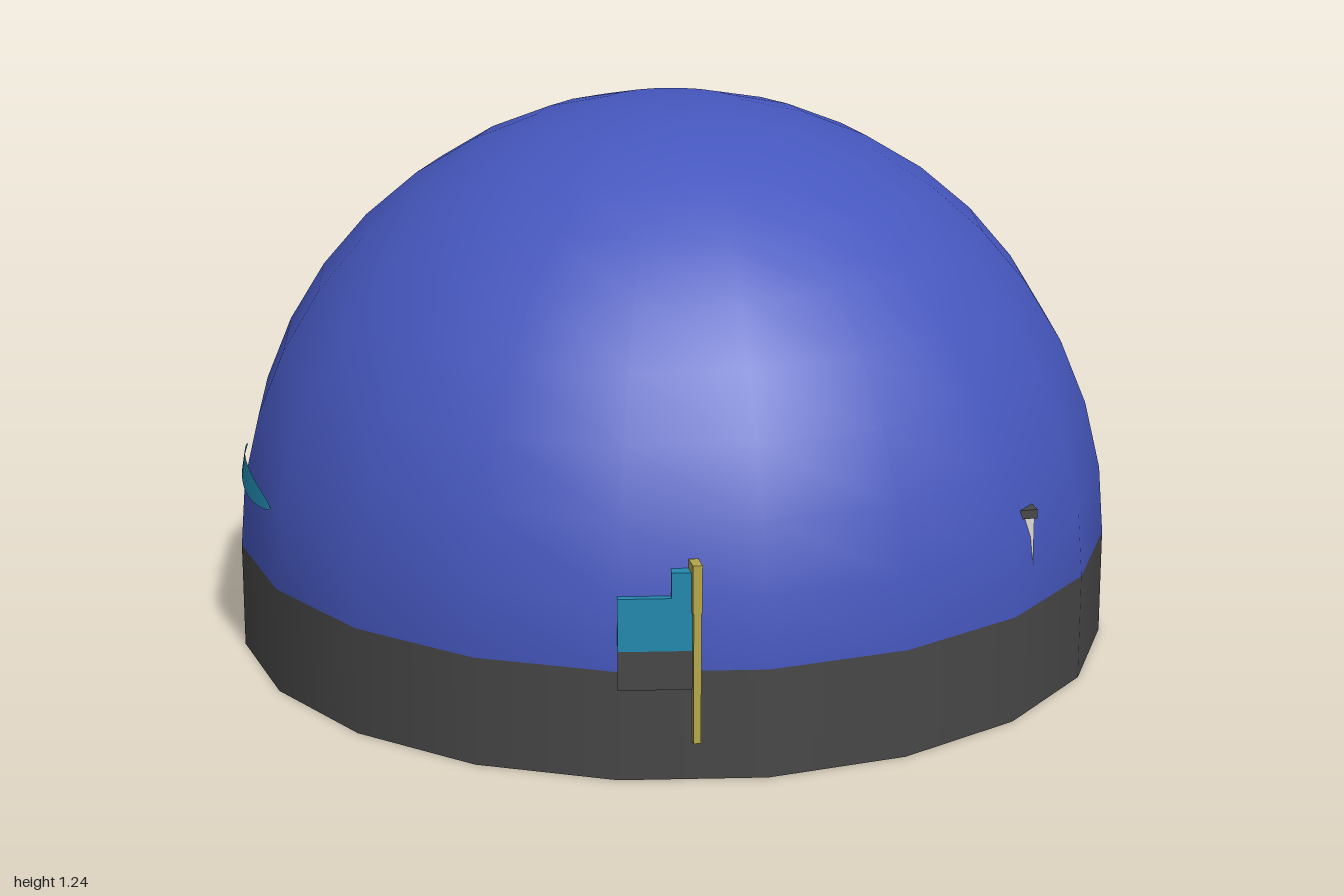
import * as THREE from 'three';
import { ParametricGeometry } from 'three/addons/geometries/ParametricGeometry.js';

const material = (name, color, side = THREE.FrontSide) => {
  const m = new THREE.MeshStandardMaterial({ color, side });
  m.name = name;
  return m;
};

export function createModel() {
  const blue = material('domeBlue', 0x4657be);
  const dark = material('baseGrey', 0x474747);
  const teal = material('teal', 0x2288ae, THREE.DoubleSide);
  const yellow = material('poleYellow', 0xb5a64a);
  const white = material('wallWhite', 0xdcd8d8);
  const BASE = 0.24;

  const model = new THREE.Group();
  model.name = 'domeModel';
  const add = (parent, name, geometry, mat) => {
    const mesh = new THREE.Mesh(geometry, mat);
    mesh.name = name;
    parent.add(mesh);
    return mesh;
  };
  // Box given by its lower and upper corners
  const box = (parent, name, mat, x0, x1, y0, y1, z0, z1) =>
    add(parent, name, new THREE.BoxGeometry(x1 - x0, y1 - y0, z1 - z0), mat)
      .position.set((x0 + x1) / 2, (y0 + y1) / 2, (z0 + z1) / 2);

  // Round base and dome
  add(model, 'base', new THREE.CylinderGeometry(1, 1, BASE, 20), dark).position.y = BASE / 2;
  add(model, 'dome', new THREE.SphereGeometry(1, 20, 10, 0, Math.PI * 2, 0, Math.PI / 2), blue).position.y = BASE;

  // Stepped panel in line with one facet of the dome
  const panel = new THREE.Group();
  panel.name = 'frontPanel';
  panel.rotation.y = -Math.PI / 20;
  model.add(panel);
  box(panel, 'panelFoot', dark, -0.157, 0.005, 0.2, 0.285, 0.9, 0.991);
  box(panel, 'panelLow', teal, -0.157, -0.046, 0.285, 0.4, 0.9, 0.991);
  box(panel, 'panelHigh', teal, -0.046, 0.005, 0.285, 0.455, 0.9, 0.991);

  // Poles with a slightly wider head, at front and back
  for (const [name, x, z] of [['frontPole', -0.15, 0.972], ['backPole', -0.132, -0.977]]) {
    const pole = new THREE.Group();
    pole.name = name;
    pole.position.set(x, 0, z);
    model.add(pole);
    box(pole, 'poleShaft', yellow, -0.008, 0.008, 0.085, 0.38, -0.02, 0.02);
    box(pole, 'poleHead', yellow, -0.01, 0.01, 0.37, 0.475, -0.022, 0.022);
  }

  // Small houses whose outer corners break through the dome
  const houses = [
    ['frontHouse', 0.645, 0.742, 0.44],
    ['backHouse', 0.585, -0.825, 0.43],
    ['sideHouse', 0.738, -0.645, 0.425],
  ];
  for (const [name, x, z, top] of houses) {
    const house = new THREE.Group();
    house.name = name;
    house.position.set(x, 0, z);
    house.scale.z = Math.sign(z);
    model.add(house);
    // Mirrored by position rather than by winding
    house.scale.z = 1;
    const s = Math.sign(z), span = d => (s > 0 ? [-0.12, d] : [-d, 0.12]);
    box(house, 'houseWall', white, -0.12, 0, 0.22, top, ...span(0));
    box(house, 'houseRoof', dark, -0.12, 0.005, top, top + 0.02, ...span(0.006));
  }

  // Curved eave on the right side of the dome
  const eave = (u, v, target) => {
    const angle = THREE.MathUtils.lerp(-0.23, 0.27, u);
    const y = 0.41 + (v - 0.5) * 0.055 * Math.sin(Math.PI * u) ** 0.6;
    const r = 1.002 * Math.sqrt(1 - (y - BASE) ** 2);
    target.set(-r * Math.cos(angle), y, r * Math.sin(angle));
  };
  add(model, 'sideEave', new ParametricGeometry(eave, 16, 3), teal);

  return model;
}
